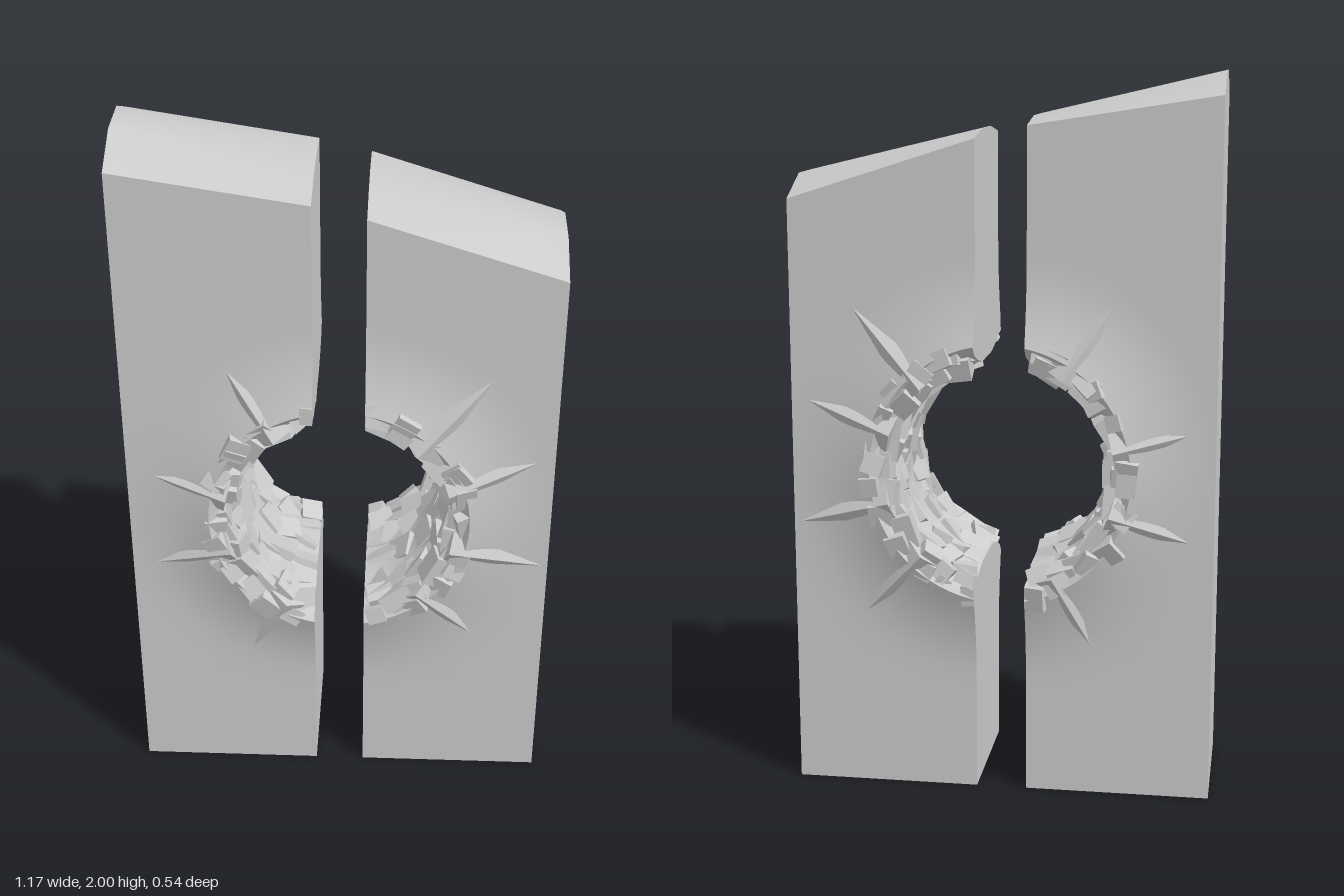
import * as THREE from 'three';
import { mergeGeometries, toCreasedNormals } from 'three/addons/utils/BufferGeometryUtils.js';

const CY = 0.92, GAP = 0.07, OUT = 0.585, DEPTH = 0.205, RIM = 0.36;

// seeded random numbers
function makeRandom(seed) {
  return () => {
    seed = (seed * 1664525 + 1013904223) % 4294967296;
    return seed / 4294967296;
  };
}

// height of the face: swollen around the hole, flat further out
function faceZ(r) {
  const t = THREE.MathUtils.clamp((r - RIM) / 0.24, 0, 1);
  return DEPTH + 0.045 * (1 - t) ** 2;
}

// hole lining as [radius, z], from the middle to the rim
const WALL = [[0.295, 0.08], [0.31, 0.16], [0.335, 0.225], [RIM, faceZ(RIM)]];

// One half of the stone: a closed section swept from the lower cut, round the outside, to the upper cut
function slabGeometry(side, top) {
  const outer = [];
  const add = (x, f, low) => outer.push(low ? { x, y: 0, ridge: 0, low } : { x, ...f });
  const topAt = k => ({
    y: THREE.MathUtils.lerp(top.innerEdge, top.outerEdge, k),
    ridge: THREE.MathUtils.lerp(top.innerRidge, top.outerRidge, k),
  });
  const lerpX = k => THREE.MathUtils.lerp(GAP, OUT, k);
  for (let i = 0; i <= 8; i++) add(lerpX(i / 8), null, true);
  for (let i = 1; i < 24; i++) {
    const k = i / 24;
    add(OUT, { y: top.outerEdge * k, ridge: top.outerRidge * k });
  }
  for (let i = 8; i >= 0; i--) add(lerpX(i / 8), topAt(i / 8));

  const angle = p => Math.atan2(p.y - CY, p.x);
  const first = Math.abs(angle(outer[0])), last = angle(outer[outer.length - 1]);
  const onRing = (p, r) => {
    const a = angle(p);
    const b = a / (a < 0 ? first : last) * Math.acos(GAP / r);
    return [r * Math.cos(b), CY + r * Math.sin(b)];
  };

  const RAD = 14;
  const sections = outer.map(p => {
    const front = WALL.map(([r, z]) => [...onRing(p, r), z]);
    const [x0, y0] = onRing(p, RIM);
    for (let j = 1; j <= RAD; j++) {
      const u = (j / RAD) ** 1.4;
      const x = THREE.MathUtils.lerp(x0, p.x, u), y = THREE.MathUtils.lerp(y0, p.y, u);
      front.push([x, y, faceZ(Math.hypot(x, y - CY))]);
    }
    front.push([p.x, p.ridge, 0.07]);
    return [...front, ...front.map(([x, y, z]) => [x, y, -z]).reverse()];
  });

  const pos = [];
  const tri = (a, b, c) => {
    for (const v of side > 0 ? [a, b, c] : [a, c, b]) pos.push(v[0] * side, v[1], v[2]);
  };
  const quad = (a, b, c, d) => { tri(a, b, c); tri(a, c, d); };
  const n = sections[0].length, half = n / 2;
  for (let i = 0; i + 1 < sections.length; i++) {
    const s = sections[i], t = sections[i + 1];
    for (let j = 0; j < n; j++) {
      // the underside stays open
      if (outer[i].low && outer[i + 1].low && j >= half - 2 && j <= half) continue;
      const k = (j + 1) % n;
      quad(s[j], s[k], t[k], t[j]);
    }
  }
  // flat cuts facing the gap, below and above the hole
  const lower = sections[0], upper = sections[sections.length - 1];
  for (let j = 0; j + 1 < half; j++) {
    const b = n - 1 - j;
    quad(lower[j], lower[b], lower[b - 1], lower[j + 1]);
    quad(upper[j], upper[j + 1], upper[b - 1], upper[b]);
  }
  const g = new THREE.BufferGeometry();
  g.setAttribute('position', new THREE.Float32BufferAttribute(pos, 3));
  return toCreasedNormals(g, 0.5);
}

// trims pieces at the gap
function trim(geometry, side) {
  const p = geometry.attributes.position;
  for (let i = 0; i < p.count; i++) p.setX(i, side * Math.max(p.getX(i) * side, GAP));
  geometry.computeVertexNormals();
  return geometry;
}

// broken blocks lining the hole and its rims
function rubbleGeometry(side, random) {
  const parts = [];
  const range = (a, b) => a + (b - a) * random();
  const block = (a, r, z, size) => {
    const g = new THREE.BoxGeometry(...size);
    g.rotateX(range(-0.35, 0.35)).rotateY(range(-0.35, 0.35)).rotateZ(range(-0.3, 0.3));
    g.translate(r, 0, z).rotateZ(a);
    g.scale(side, 1, 1);
    if (side < 0) {
      const ix = g.index.array;
      for (let i = 0; i < ix.length; i += 3) [ix[i], ix[i + 1]] = [ix[i + 1], ix[i]];
    }
    parts.push(trim(g.translate(0, CY, 0), side));
  };
  const COUNT = 13;
  for (let i = 0; i < COUNT; i++) {
    for (const z of [-0.14, -0.05, 0.05, 0.14]) {
      const a = ((i + range(0.2, 0.8)) / COUNT - 0.5) * 2.55;
      block(a, range(0.298, 0.312) + Math.abs(z) * 0.08, z + range(-0.02, 0.02),
        [range(0.03, 0.05), range(0.05, 0.1), range(0.06, 0.11)]);
    }
    for (const f of [-1, 1]) {
      const a = ((i + range(0.2, 0.8)) / COUNT - 0.5) * 2.65;
      block(a, range(0.315, 0.335), f * range(0.195, 0.215),
        [range(0.04, 0.065), range(0.05, 0.1), range(0.04, 0.07)]);
      block(a + range(-0.1, 0.1), range(0.345, 0.365), f * range(0.222, 0.234),
        [range(0.04, 0.07), range(0.04, 0.08), range(0.03, 0.05)]);
    }
  }
  return mergeGeometries(parts);
}

// tapering splinter lying on a face, pointing away from the hole
function spikeGeometry([x, y], face) {
  const dy = y - CY, tip = Math.hypot(x, dy), a = Math.atan2(dy, x);
  const base = 0.315, len = tip - base;
  const g = new THREE.ConeGeometry(0.055, len, 4, 1);
  g.rotateZ(-Math.PI / 2).scale(1, 1, 0.65);
  g.translate(len / 2, 0, 0);
  // lean the spike so its tip meets the face
  const drop = Math.atan2(0.232 - faceZ(tip) - 0.004, len);
  g.rotateY(drop).translate(base, 0, 0.232).rotateZ(a).translate(0, CY, 0);
  const flat = g.toNonIndexed();
  if (face < 0) {
    flat.rotateY(Math.PI).scale(1, 1, 1);
  }
  return flat;
}

const TIPS = [
  [-0.3, 1.38], [-0.51, 1.04], [-0.52, 0.74], [-0.25, 0.44],
  [0.38, 0.51], [0.57, 0.76], [0.54, 1.11], [0.41, 1.37],
];

export function createModel() {
  const model = new THREE.Group();
  const smooth = new THREE.MeshStandardMaterial({ color: 0xcccccc, side: THREE.DoubleSide });
  const rough = new THREE.MeshStandardMaterial({ color: 0xcccccc, side: THREE.DoubleSide, flatShading: true });
  const tops = {
    right: { side: -1, innerEdge: 1.86, innerRidge: 1.88, outerEdge: 1.94, outerRidge: 2.0 },
    left: { side: 1, innerEdge: 1.825, innerRidge: 1.845, outerEdge: 1.66, outerRidge: 1.72 },
  };
  for (const [name, top] of Object.entries(tops)) {
    const { side } = top;
    const half = new THREE.Group();
    half.name = `${name}Half`;
    const put = (part, geometry, material) => {
      const mesh = new THREE.Mesh(geometry, material);
      mesh.name = name + part;
      half.add(mesh);
    };
    put('Slab', slabGeometry(side, top), smooth);
    put('Rubble', rubbleGeometry(side, makeRandom(side > 0 ? 11 : 29)), rough);
    const spikes = [];
    for (const tip of TIPS.filter(t => t[0] * side > 0)) {
      spikes.push(spikeGeometry(tip, 1));
      // the rear spikes are a half turn of the front ones
      spikes.push(spikeGeometry([-tip[0], tip[1]], -1));
    }
    put('Spikes', trim(mergeGeometries(spikes), side), rough);
    model.add(half);
  }
  return model;
}
